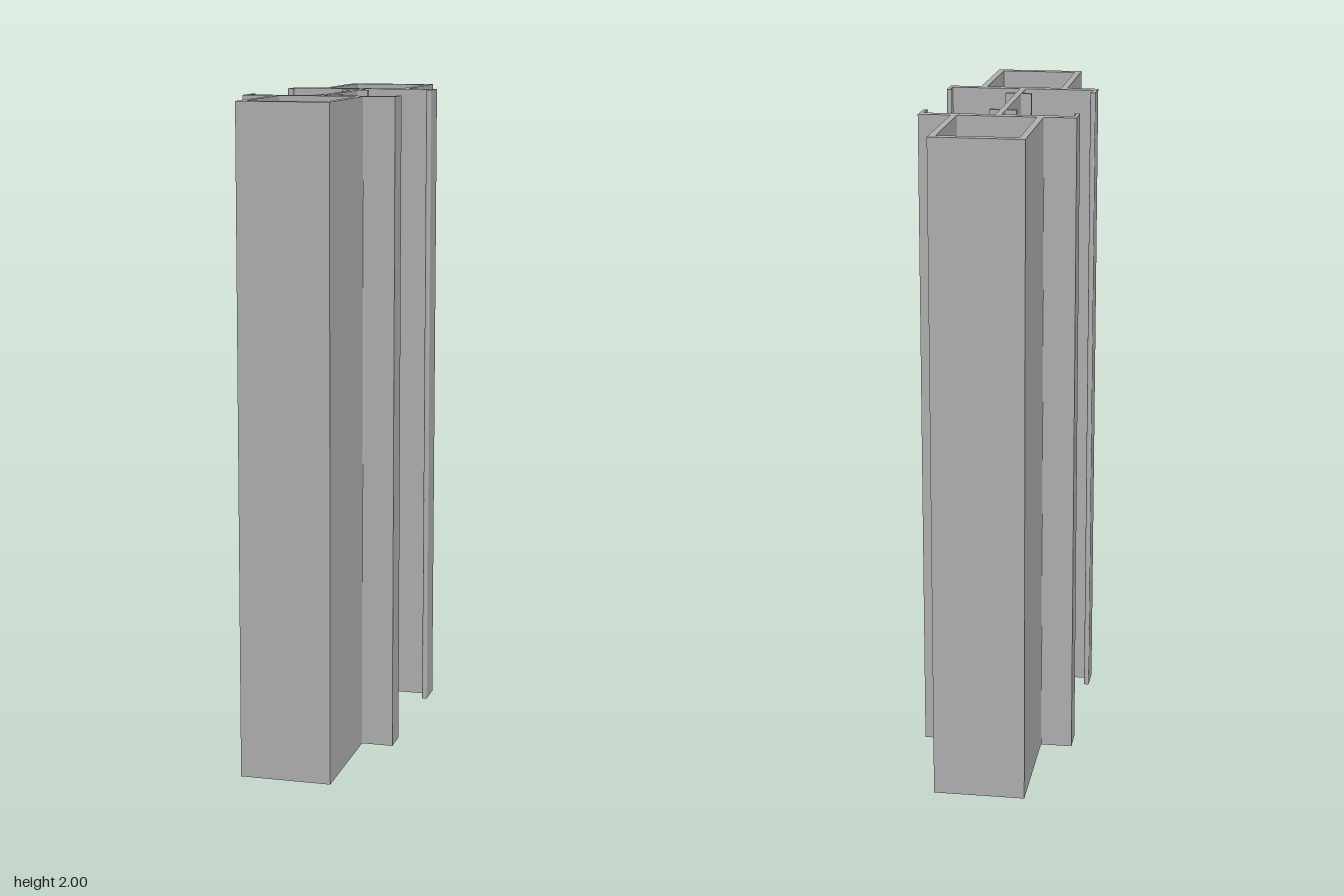
import * as THREE from 'three';

const HEIGHT = 2;

// Replaces each corner [x, y, radius] that has a radius by a short curve.
function roundCorners(corners, closed) {
  const n = corners.length;
  const out = [];
  corners.forEach(([x, y, r], i) => {
    const p = new THREE.Vector2(x, y);
    if (!r || (!closed && (i === 0 || i === n - 1))) {
      out.push(p);
      return;
    }
    const toward = ([ax, ay]) => new THREE.Vector2(ax, ay).sub(p).setLength(r).add(p);
    const curve = new THREE.QuadraticBezierCurve(
      toward(corners[(i + n - 1) % n]), p, toward(corners[(i + 1) % n]));
    out.push(...curve.getPoints(4));
  });
  return out;
}

const mirror = (points, sx, sy) => points.map((p) => new THREE.Vector2(p.x * sx, p.y * sy));

export function createModel() {
  const group = new THREE.Group();
  group.name = 'extrudedProfile';
  const aluminium = new THREE.MeshStandardMaterial({ color: 0xb2b2b2 });
  aluminium.name = 'aluminium grey';

  // One quarter of the section, from the web out to the box end
  const quarter = roundCorners([
    [0.009, 0.02],
    // small locating tab on the web
    [0.009, 0.152, 0.006], [0.041, 0.152, 0.002], [0.041, 0.168, 0.002], [0.009, 0.168, 0.006],
    // flange with beaded lip
    [0.009, 0.252, 0.006], [0.224, 0.252, 0.004],
    [0.224, 0.213], [0.219, 0.21, 0.002], [0.219, 0.198, 0.006], [0.235, 0.198, 0.007],
    [0.235, 0.285],
    // hollow box wall
    [0.138, 0.285, 0.004], [0.138, 0.664],
  ], false);

  const outline = [
    ...quarter,
    ...mirror(quarter, -1, 1).reverse(),
    ...mirror(quarter, -1, -1),
    ...mirror(quarter, 1, -1).reverse(),
  ];
  const section = new THREE.Shape(outline);

  // Chambers of the two boxes
  const chamber = roundCorners([
    [-0.118, 0.285, 0.008], [-0.118, 0.633], [0.118, 0.633], [0.118, 0.285, 0.008],
  ], true);
  for (const side of [1, -1]) section.holes.push(new THREE.Path(mirror(chamber, 1, side)));

  // Section drawn flat, then stood upright
  const geometry = new THREE.ExtrudeGeometry(section, { depth: HEIGHT, bevelEnabled: false });
  geometry.rotateX(-Math.PI / 2);

  const mesh = new THREE.Mesh(geometry, aluminium);
  mesh.name = 'doubleBoxBeam';
  group.add(mesh);
  return group;
}
